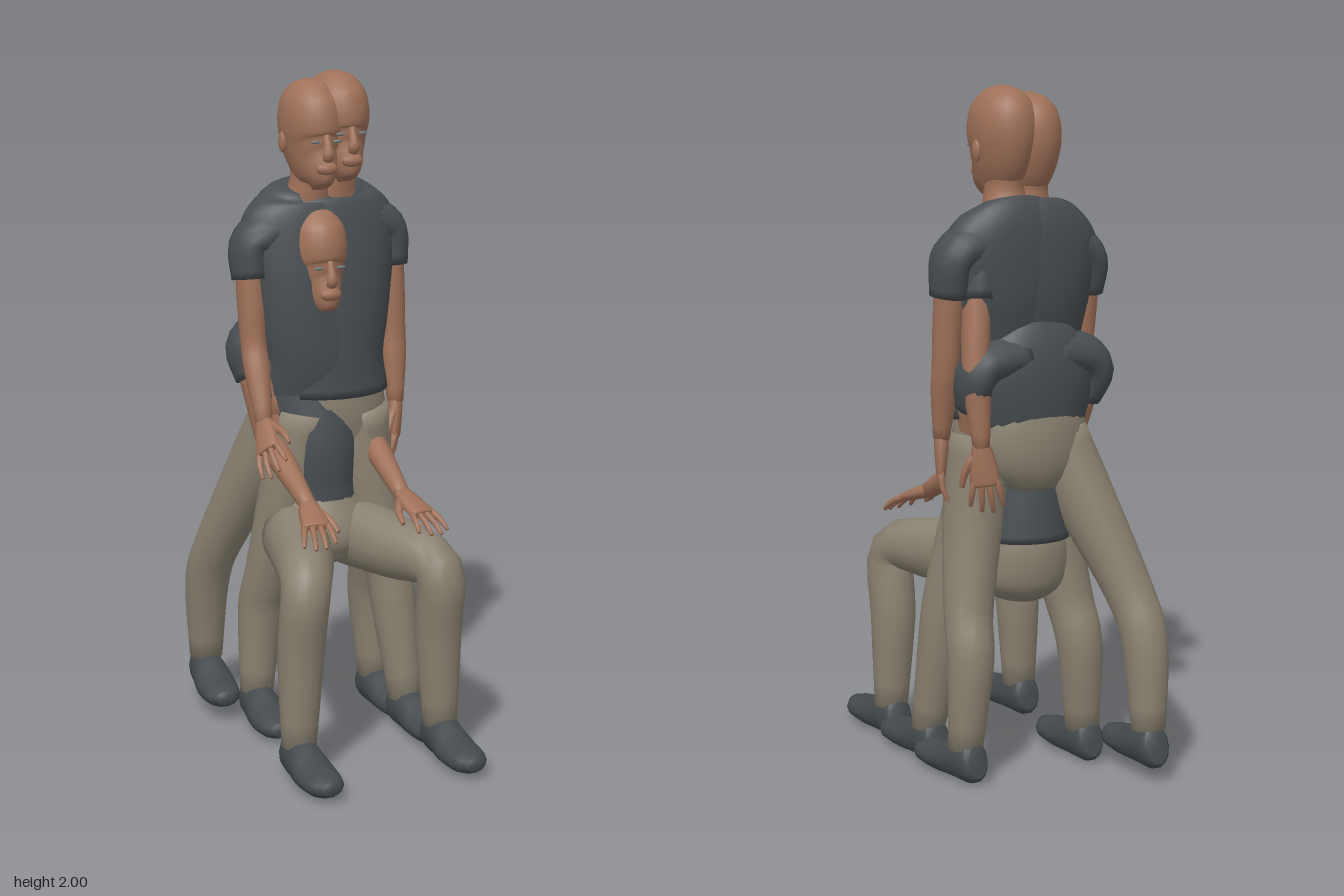
import * as THREE from 'three';

const mat = (name, color) => Object.assign(new THREE.MeshStandardMaterial({ color }), { name });
const skin = mat('skin', 0x9e7058), shirt = mat('shirt grey', 0x474d51), trouser = mat('trouser khaki', 0x888070);
const leather = mat('shoe grey', 0x444a4d), eyeGrey = mat('eye grey', 0x747a7d);
const V = (x, y, z) => new THREE.Vector3(x, y, z);

// Smooth closed skin over elliptical sections; each row is [x, y, z, radius across, radius deep]
function loft(name, material, rows, sides = 16, steps = 4) {
  const path = new THREE.CatmullRomCurve3(rows.map(r => V(r[0], r[1], r[2])), false, 'catmullrom', 0.5);
  const size = new THREE.CatmullRomCurve3(rows.map(r => V(r[3], r[4] ?? r[3], 0)), false, 'catmullrom', 0.5);
  const n = (rows.length - 1) * steps, pos = [], idx = [];
  for (let j = 0; j <= n; j++) {
    const c = path.getPoint(j / n), t = path.getTangent(j / n), s = size.getPoint(j / n);
    const across = V(1, 0, 0).addScaledVector(t, -t.x).normalize();
    const deep = t.clone().cross(across);
    for (let i = 0; i < sides; i++) {
      const a = i / sides * Math.PI * 2;
      const p = c.clone().addScaledVector(across, Math.cos(a) * s.x).addScaledVector(deep, Math.sin(a) * s.y);
      pos.push(p.x, p.y, p.z);
      if (j < n) {
        const k = (i + 1) % sides, q = j * sides, u = q + sides;
        idx.push(q + i, q + k, u + k, q + i, u + k, u + i);
      }
    }
  }
  const first = pos.length / 3, last = n * sides;
  pos.push(...path.getPoint(0).toArray(), ...path.getPoint(1).toArray());
  for (let i = 0; i < sides; i++) {
    const k = (i + 1) % sides;
    idx.push(first, k, i, first + 1, last + i, last + k);
  }
  const g = new THREE.BufferGeometry();
  g.setAttribute('position', new THREE.Float32BufferAttribute(pos, 3));
  g.setIndex(idx);
  g.computeVertexNormals();
  const m = new THREE.Mesh(g, material);
  m.name = name;
  return m;
}

function ball(name, material, x, y, z, sx, sy, sz) {
  const m = new THREE.Mesh(new THREE.SphereGeometry(1, 12, 8), material);
  m.name = name;
  m.position.set(x, y, z);
  m.scale.set(sx, sy, sz);
  return m;
}

// Head with face and neck, measured down from the crown
function head(x, top, z) {
  const g = new THREE.Group();
  g.name = 'head';
  g.add(loft('skull', skin, [
    [0, 0, -0.118, 0.015, 0.018], [0, -0.017, -0.118, 0.053, 0.07], [0, -0.06, -0.118, 0.083, 0.11],
    [0, -0.125, -0.114, 0.092, 0.124], [0, -0.185, -0.106, 0.083, 0.116], [0, -0.235, -0.08, 0.068, 0.1],
    [0, -0.275, -0.045, 0.048, 0.068], [0, -0.308, -0.033, 0.024, 0.04]], 24));
  g.add(loft('neck', skin, [[0, -0.2, -0.13, 0.06, 0.07], [0, -0.29, -0.125, 0.056, 0.064], [0, -0.37, -0.14, 0.08, 0.07]]));
  g.add(loft('nose', skin, [[0, -0.15, -0.004, 0.01], [0, -0.19, 0.01, 0.014], [0, -0.21, 0.013, 0.018, 0.016], [0, -0.224, 0.006, 0.014]], 10));
  g.add(ball('mouth', skin, 0, -0.25, 0.004, 0.034, 0.02, 0.02));
  for (const s of [-1, 1]) {
    g.add(ball('ear', skin, s * 0.086, -0.18, -0.12, 0.012, 0.032, 0.018));
    g.add(ball('eye', eyeGrey, s * 0.035, -0.172, -0.001, 0.015, 0.005, 0.005));
  }
  g.position.set(x, top, z);
  return g;
}

// Hand: dir runs to the fingertips, back is the normal of the back of the hand
function hand(side, wrist, dir, back) {
  const g = new THREE.Group();
  g.name = 'hand';
  g.add(loft('palm', skin, [[0, 0, -0.012, 0.024, 0.022], [0, 0, 0.035, 0.036, 0.021], [0, 0, 0.1, 0.043, 0.015], [0, 0, 0.112, 0.034, 0.01]], 10));
  for (let i = 0; i < 4; i++) {
    const x = (1.5 - i) * 0.021 * side, len = [0.08, 0.096, 0.09, 0.07][i];
    g.add(loft('finger', skin, [[x, 0, 0.095, 0.01], [x * 1.3, -0.006, 0.095 + len * 0.55, 0.009], [x * 1.5, -0.022, 0.095 + len, 0.006]], 6, 2));
  }
  g.add(loft('thumb', skin, [[-side * 0.02, -0.004, 0.02, 0.014], [-side * 0.053, -0.014, 0.065, 0.012], [-side * 0.066, -0.022, 0.11, 0.007]], 6, 2));
  const d = V(...dir).normalize(), n = V(...back).addScaledVector(d, -V(...back).dot(d)).normalize();
  g.quaternion.setFromRotationMatrix(new THREE.Matrix4().makeBasis(n.clone().cross(d), n, d));
  g.position.set(...wrist);
  return g;
}

// Arm with a short sleeve
function arm(side, { shoulder, elbow, wrist, dir, back }) {
  const g = new THREE.Group();
  g.name = side > 0 ? 'leftArm' : 'rightArm';
  const mix = (a, b, t) => a.map((v, i) => v + (b[i] - v) * t);
  const [x, y, z] = shoulder;
  g.add(loft('sleeve', shirt, [[x - side * 0.15, y + 0.03, z, 0.06, 0.085], [x - side * 0.055, y + 0.016, z, 0.066, 0.085],
    [x, y - 0.025, z, 0.054, 0.08], [...mix(shoulder, elbow, 0.38), 0.052, 0.066]]));
  g.add(loft('bareArm', skin, [[...mix(shoulder, elbow, 0.3), 0.042, 0.048], [...mix(shoulder, elbow, 0.65), 0.041, 0.046],
    [...elbow, 0.038, 0.042], [...mix(elbow, wrist, 0.35), 0.038, 0.038], [...wrist, 0.024, 0.026]], 14));
  g.add(hand(side, wrist, dir, back));
  return g;
}

// Trouser leg and shoe; joints run hip, thigh, knee, calf, ankle
function leg(side, { joints, yaw = 0, lift = 0, pitch = 0 }) {
  const g = new THREE.Group();
  g.name = side > 0 ? 'leftLeg' : 'rightLeg';
  const radii = [[0.095, 0.11], [0.09, 0.096], [0.073, 0.072], [0.068, 0.07], [0.051, 0.052]];
  g.add(loft('trouserLeg', trouser, joints.map((p, i) => [...p, ...radii[i]])));
  const shoe = loft('shoe', leather, [[0, 0.075, -0.066, 0.03, 0.045], [0, 0.07, -0.04, 0.046, 0.064], [0, 0.067, 0.03, 0.054, 0.064],
    [0, 0.05, 0.11, 0.063, 0.045], [0, 0.046, 0.19, 0.056, 0.036], [0, 0.05, 0.235, 0.028, 0.02]], 14);
  const ankle = joints[4];
  shoe.position.set(ankle[0], lift, ankle[2]);
  shoe.rotation.set(pitch, yaw, 0, 'YXZ');
  g.add(shoe);
  return g;
}

function figure(name, f) {
  const g = new THREE.Group();
  g.name = name;
  g.add(head(...f.head), loft('shirtBody', shirt, f.torso, 24), loft('hips', trouser, f.hips, 20));
  f.arms.forEach((a, i) => g.add(arm(i ? 1 : -1, a)));
  f.legs.forEach((l, i) => g.add(leg(i ? 1 : -1, l)));
  return g;
}

// Upright shirt shared by the standing and striding figures
const uprightTorso = (x, hipX, z) => [
  [x, 1.675, -0.14, 0.08, 0.065], [x, 1.64, -0.15, 0.155, 0.092], [x, 1.56, -0.145, 0.205, 0.108], [x, 1.42, -0.13, 0.192, 0.118],
  [x, 1.3, -0.112, 0.17, 0.11], [hipX, 1.17, -0.1, 0.163, 0.1], [hipX, 1.055, z, 0.182, 0.114]];

export function createModel() {
  const root = new THREE.Group();
  root.name = 'threePosedFigures';
  const sides = [-1, 1];

  // Standing, arms hanging
  root.add(figure('standingFigure', {
    head: [0.065, 2.0, 0],
    torso: uprightTorso(0.06, 0.045, -0.11),
    hips: [[0.045, 1.12, -0.11, 0.155, 0.1], [0.045, 0.99, -0.115, 0.175, 0.115], [0.045, 0.86, -0.12, 0.14, 0.105]],
    arms: sides.map(s => ({ shoulder: [0.06 + s * 0.19, 1.54, -0.145], elbow: [0.06 + s * 0.198, 1.21, -0.125],
      wrist: [0.06 + s * 0.192, 1.0, -0.09], dir: [-s * 0.02, -1, 0.06], back: [s, 0, 0.6] })),
    legs: sides.map(s => ({ yaw: s * 0.06, joints: [[0.04 + s * 0.09, 1.0, -0.11], [0.04 + s * 0.125, 0.76, -0.12],
      [0.04 + s * 0.17, 0.5, -0.17], [0.04 + s * 0.185, 0.36, -0.21], [0.04 + s * 0.2, 0.1, -0.205]] })),
  }));

  // Striding, left foot ahead and right arm ahead
  root.add(figure('stridingFigure', {
    head: [-0.015, 1.98, 0],
    torso: uprightTorso(-0.02, 0, -0.14).map((r, i) => [r[0], r[1] - 0.01, ...r.slice(2)]),
    hips: [[0, 1.13, -0.14, 0.155, 0.11], [0, 1.02, -0.155, 0.18, 0.125], [0, 0.92, -0.16, 0.165, 0.12], [0, 0.85, -0.16, 0.1, 0.09]],
    arms: [
      { shoulder: [-0.205, 1.52, -0.14], elbow: [-0.205, 1.21, -0.1], wrist: [-0.215, 1.0, 0.0], dir: [-0.22, -0.55, 0.75], back: [-0.8, 0.5, 0.2] },
      { shoulder: [0.17, 1.52, -0.15], elbow: [0.205, 1.21, -0.205], wrist: [0.2, 0.99, -0.23], dir: [-0.05, -1, -0.12], back: [0.5, 0, -1] }],
    legs: [
      { yaw: -0.1, lift: 0.035, pitch: 0.02, joints: [[-0.09, 0.98, -0.155], [-0.145, 0.8, -0.235], [-0.22, 0.55, -0.355], [-0.238, 0.4, -0.418], [-0.232, 0.15, -0.45]] },
      { yaw: 0.04, joints: [[0.09, 0.98, -0.125], [0.14, 0.78, -0.08], [0.2, 0.53, -0.035], [0.215, 0.38, -0.015], [0.235, 0.1, 0.03]] }],
  }));

  // Seated, hands resting above the knees
  root.add(figure('seatedFigure', {
    head: [-0.01, 1.615, 0.014],
    torso: [[0, 1.31, -0.15, 0.08, 0.065], [0, 1.28, -0.168, 0.155, 0.092], [0, 1.19, -0.165, 0.205, 0.115], [0, 1.05, -0.145, 0.185, 0.125],
      [0, 0.9, -0.112, 0.13, 0.13], [0, 0.78, -0.12, 0.13, 0.134], [0, 0.69, -0.122, 0.14, 0.14]],
    hips: [[0, 0.76, -0.115, 0.125, 0.115], [0, 0.67, -0.105, 0.15, 0.15], [0, 0.585, -0.085, 0.155, 0.155], [0, 0.53, -0.07, 0.11, 0.11]],
    arms: sides.map(s => ({ shoulder: [s * 0.2, 1.21, -0.185], elbow: [s * 0.158, 0.92, -0.1], wrist: [s * 0.15, 0.785, 0.172],
      dir: [s * 0.18, -0.34, 0.95], back: [0, 1, 0] })),
    legs: sides.map(s => ({ joints: [[s * 0.09, 0.622, -0.08], [s * 0.145, 0.613, 0.12], [s * 0.21, 0.583, 0.293],
      [s * 0.22, 0.38, 0.278], [s * 0.228, 0.1, 0.28]] })),
  }));
  return root;
}
